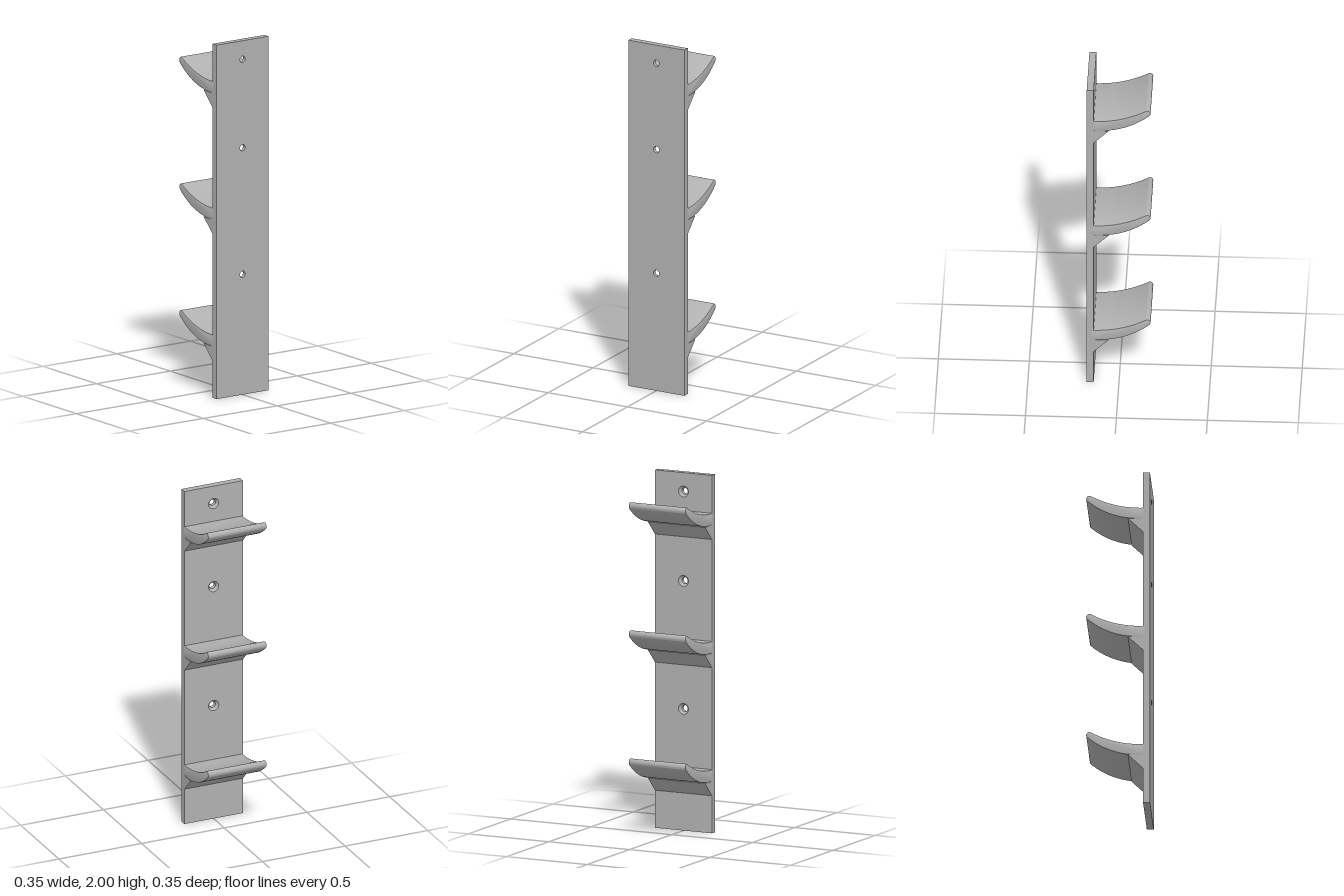
import * as THREE from 'three';
import { toCreasedNormals } from 'three/addons/utils/BufferGeometryUtils.js';

const WIDTH = 0.354, FRONT = 0.177, THICK = 0.038;
const SINK_R = 0.031, HOLE_R = 0.018;

export function createModel() {
  const model = new THREE.Group();
  const grey = new THREE.MeshStandardMaterial({ color: 0xb0b0b0 });
  grey.name = 'grey';

  const add = (name, geometry, y = 0) => {
    const mesh = new THREE.Mesh(geometry, grey);
    mesh.name = name;
    mesh.position.y = y;
    model.add(mesh);
  };

  // Side profiles are drawn as (-z, y) and extruded across the width
  const acrossWidth = (shape, bevel) => {
    const g = new THREE.ExtrudeGeometry(shape, {
      depth: WIDTH - 2 * bevel, curveSegments: 20, bevelEnabled: bevel > 0,
      bevelThickness: bevel, bevelSize: bevel, bevelOffset: -bevel, bevelSegments: 2,
    });
    g.translate(0, 0, bevel - WIDTH / 2);
    g.rotateY(Math.PI / 2);
    return toCreasedNormals(g, 0.5);
  };

  // Wall plate with three openings
  const holeHeights = [0.68, 1.395, 1.895];
  const plate = new THREE.Shape();
  plate.moveTo(-WIDTH / 2, 0);
  plate.lineTo(WIDTH / 2, 0);
  plate.lineTo(WIDTH / 2, 2);
  plate.lineTo(-WIDTH / 2, 2);
  plate.closePath();
  for (const y of holeHeights) {
    plate.holes.push(new THREE.Path().absarc(0, y, SINK_R, 0, Math.PI * 2, true));
  }
  const plateGeometry = new THREE.ExtrudeGeometry(plate, { depth: THICK, bevelEnabled: false, curveSegments: 16 });
  plateGeometry.translate(0, 0, FRONT - THICK);
  add('wallPlate', plateGeometry);

  // Countersunk screw holes, narrow at the front and flared at the back
  const profile = [
    [SINK_R, FRONT], [HOLE_R, FRONT], [HOLE_R, FRONT - 0.022], [SINK_R, FRONT - THICK],
  ].map(([r, z]) => new THREE.Vector2(r, z));
  const sink = new THREE.LatheGeometry(profile, 32);
  sink.rotateX(Math.PI / 2);
  const sinkGeometry = toCreasedNormals(sink, 0.5);
  for (const y of holeHeights) add('screwHole', sinkGeometry, y);

  // Curved arm with rounded tip; heights are relative to its root
  const arm = new THREE.Shape();
  arm.moveTo(-0.155, -0.066);
  arm.lineTo(-0.125, -0.066);
  arm.quadraticCurveTo(0.042, -0.066, 0.167, 0.045);
  arm.bezierCurveTo(0.185, 0.064, 0.165, 0.09, 0.146, 0.077);
  arm.quadraticCurveTo(0.013, 0, -0.14, 0);
  arm.lineTo(-0.155, 0);
  arm.closePath();
  const armGeometry = acrossWidth(arm, 0.004);

  // Wedge brace under the arm
  const brace = new THREE.Shape();
  brace.moveTo(-0.15, -0.146);
  brace.lineTo(-0.138, -0.146);
  brace.lineTo(-0.056, -0.064);
  brace.lineTo(-0.125, -0.066);
  brace.lineTo(-0.15, -0.06);
  brace.closePath();
  const braceGeometry = acrossWidth(brace, 0);

  for (let i = 0; i < 3; i++) {
    const y = 0.356 + i * 0.716;
    add('hookArm', armGeometry, y);
    add('hookBrace', braceGeometry, y);
  }
  return model;
}
